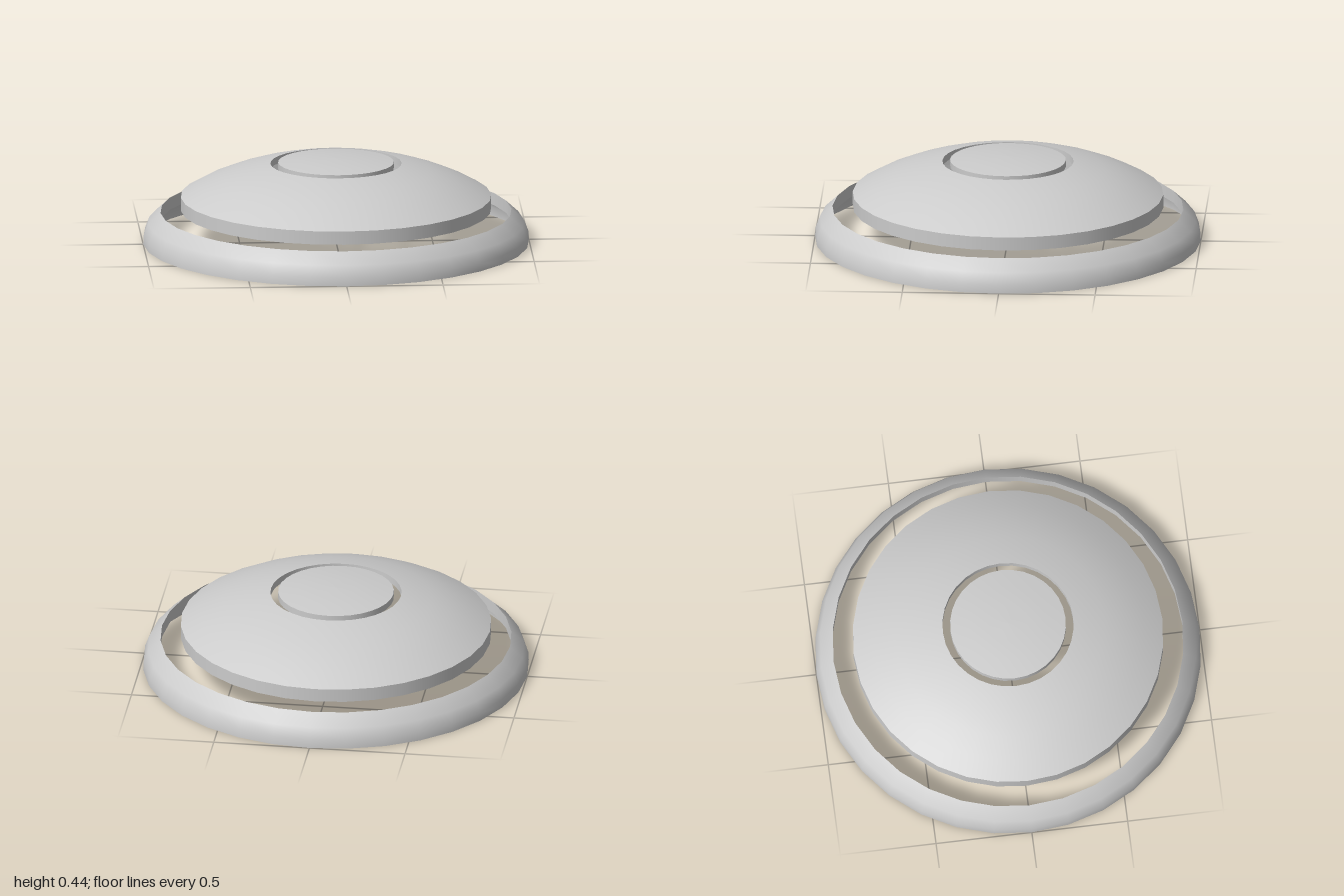
import * as THREE from 'three';

const SEGMENTS = 32;
const material = new THREE.MeshStandardMaterial({ color: 0xcccccc, side: THREE.DoubleSide });

// Revolve a [radius, height] profile into a thin shell
function shell(name, profile) {
  const points = profile.map(([r, y]) => new THREE.Vector2(r, y));
  const mesh = new THREE.Mesh(new THREE.LatheGeometry(points, SEGMENTS), material);
  mesh.name = name;
  return mesh;
}

// Vertical band; listing the top height first makes it face inward
const band = (name, r, y0, y1) => shell(name, [[r, y0], [r, y1]]);

function part(name, ...meshes) {
  const group = new THREE.Group();
  group.name = name;
  group.add(...meshes);
  return group;
}

export function createModel() {
  const model = new THREE.Group();
  model.name = 'layeredDome';

  model.add(
    // Rounded outer ring with a lip hanging from its inner edge
    part('baseRing',
      shell('ringWall', [[1, 0], [0.998, 0.045], [0.975, 0.105], [0.91, 0.165]]),
      band('ringLip', 0.91, 0.165, 0.1)),

    // Open dome with a rim outside and a short collar round the hole
    part('dome',
      band('domeRim', 0.805, 0.175, 0.245),
      shell('domeSurface', [[0.805, 0.245], [0.705, 0.301], [0.595, 0.348], [0.5, 0.38], [0.4, 0.406], [0.34, 0.418]]),
      band('domeCollar', 0.34, 0.418, 0.38)),

    // Centre cap, separated from the dome by a gap
    part('centreCap',
      band('capRim', 0.3, 0.39, 0.425),
      shell('capSurface', [[0.3, 0.425], [0.2, 0.437], [0.1, 0.443], [0, 0.445]])),
  );
  return model;
}
